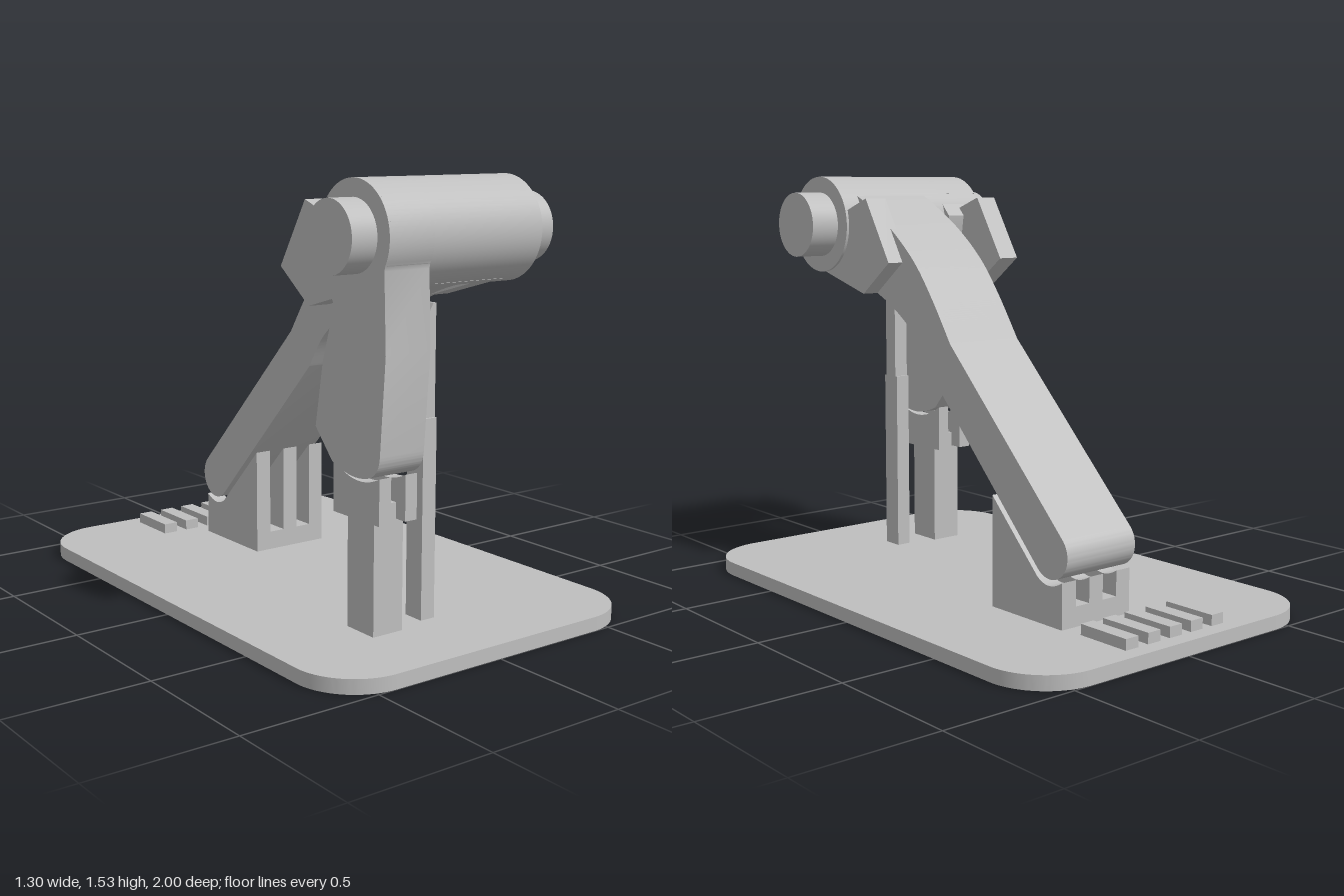
import * as THREE from 'three';
import { toCreasedNormals } from 'three/addons/utils/BufferGeometryUtils.js';

export function createModel() {
  const model = new THREE.Group();
  const grey = new THREE.MeshStandardMaterial({ color: 0xbfbfbf });
  grey.name = 'plain grey';

  const add = (name, geometry) => {
    const mesh = new THREE.Mesh(geometry, grey);
    mesh.name = name;
    model.add(mesh);
  };
  const block = (name, x0, x1, y0, y1, z0, z1) =>
    add(name, new THREE.BoxGeometry(x1 - x0, y1 - y0, z1 - z0)
      .translate((x0 + x1) / 2, (y0 + y1) / 2, (z0 + z1) / 2));
  // side outline, horizontal axis = -z, swept across from x0 to x1
  const sweep = (name, shape, x0, x1) => {
    const g = new THREE.ExtrudeGeometry(shape, { depth: x1 - x0, bevelEnabled: false, curveSegments: 20 });
    add(name, toCreasedNormals(g.rotateY(Math.PI / 2).translate(x0, 0, 0), 0.4));
  };
  const pts = (list) => list.map(([z, y]) => new THREE.Vector2(-z, y));
  const axle = (name, r, x0, x1) =>
    add(name, new THREE.CylinderGeometry(r, r, x1 - x0, 64)
      .rotateZ(Math.PI / 2).translate((x0 + x1) / 2, 1.35, 0.64));

  // Rounded base plate
  const plate = new THREE.Shape();
  const w = 0.65, d = 1, r = 0.22;
  plate.absarc(w - r, d - r, r, 0, Math.PI / 2);
  plate.absarc(r - w, d - r, r, Math.PI / 2, Math.PI);
  plate.absarc(r - w, r - d, r, Math.PI, Math.PI * 1.5);
  plate.absarc(w - r, r - d, r, Math.PI * 1.5, Math.PI * 2);
  const plateGeo = new THREE.ExtrudeGeometry(plate, { depth: 0.05, bevelEnabled: false, curveSegments: 16 });
  add('basePlate', toCreasedNormals(plateGeo.rotateX(-Math.PI / 2), 0.4));

  // Hinge barrel and pin
  axle('hingeBarrel', 0.18, -0.32, 0.315);
  axle('hingePin', 0.12, -0.425, 0.425);

  // Long curved arm with a rounded foot
  const arm = new THREE.Shape();
  arm.moveTo(-0.64, 1.5);
  arm.lineTo(-0.5, 1.46);
  arm.splineThru(pts([[0.43, 1.427], [0.275, 1.335], [0.14, 1.225], [0.035, 1.098], [-0.07, 0.945]]));
  arm.absarc(0.6, 0.295, 0.085, Math.PI / 4, -Math.PI * 0.75, true);
  arm.lineTo(-0.045, 0.83);
  arm.splineThru(pts([[0.13, 0.95], [0.25, 1.04], [0.37, 1.1], [0.5, 1.145], [0.62, 1.168]]));
  arm.lineTo(-0.72, 1.188);
  sweep('longArm', arm, -0.067, 0.243);

  // Stop lugs behind the barrel
  const lug = new THREE.Shape(pts([[0.62, 1.17], [0.37, 1.1], [0.21, 1.22], [0.35, 1.45], [0.473, 1.405], [0.6, 1.36]]));
  sweep('rightLug', lug, -0.305, -0.22);
  sweep('leftLug', lug, 0.217, 0.305);

  // Short leg hanging from the barrel
  const leg = new THREE.Shape();
  leg.moveTo(-0.795, 1.25);
  leg.lineTo(-0.805, 0.99);
  leg.lineTo(-0.78, 0.665);
  leg.quadraticCurveTo(-0.775, 0.61, -0.73, 0.59);
  leg.quadraticCurveTo(-0.64, 0.56, -0.53, 0.61);
  for (const [z, y] of [[0.44, 0.71], [0.48, 0.935], [0.54, 1.12], [0.45, 1.28], [0.435, 1.38], [0.51, 1.46]]) {
    leg.lineTo(-z, y);
  }
  leg.absarc(-0.64, 1.35, 0.18, 0.7, Math.PI + 0.5);
  sweep('shortLeg', leg, -0.327, -0.147);

  // Post with two cradle prongs under the short leg
  block('legPost', -0.295, -0.175, 0.05, 0.49, 0.575, 0.713);
  const cradle = new THREE.Shape();
  cradle.moveTo(-0.76, 0.435);
  cradle.lineTo(-0.52, 0.435);
  cradle.lineTo(-0.52, 0.61);
  cradle.quadraticCurveTo(-0.64, 0.53, -0.76, 0.59);
  for (const x of [-0.312, -0.205]) sweep('legCradleProng', cradle, x, x + 0.048);

  // Thin stepped post with a notched tip
  block('thinPostLower', -0.065, -0.008, 0.05, 0.74, 0.6, 0.68);
  const tip = new THREE.Shape([[-0.065, 0.74], [-0.008, 0.74], [-0.008, 1.12], [-0.02, 1.12],
    [-0.036, 1.093], [-0.052, 1.12], [-0.065, 1.12]].map(([x, y]) => new THREE.Vector2(x, y)));
  add('thinPostUpper', new THREE.ExtrudeGeometry(tip, { depth: 0.06, bevelEnabled: false }).translate(0, 0, 0.61));

  // Three-finned wedge under the arm foot
  block('wedgeBase', -0.067, 0.243, 0.05, 0.12, -0.66, -0.302);
  const fin = new THREE.Shape();
  fin.moveTo(0.302, 0.05);
  fin.lineTo(0.66, 0.05);
  fin.lineTo(0.66, 0.21);
  fin.quadraticCurveTo(0.59, 0.165, 0.535, 0.21);
  fin.lineTo(0.302, 0.445);
  for (const x of [-0.067, 0.058, 0.181]) sweep('wedgeFin', fin, x, x + 0.062);

  // Row of small bars at the back
  for (let i = -2; i <= 2; i++) {
    const x = i * 0.1 - 0.002;
    block('rearBar', x - 0.028, x + 0.028, 0.05, 0.088, -0.94, -0.733);
  }
  return model;
}
